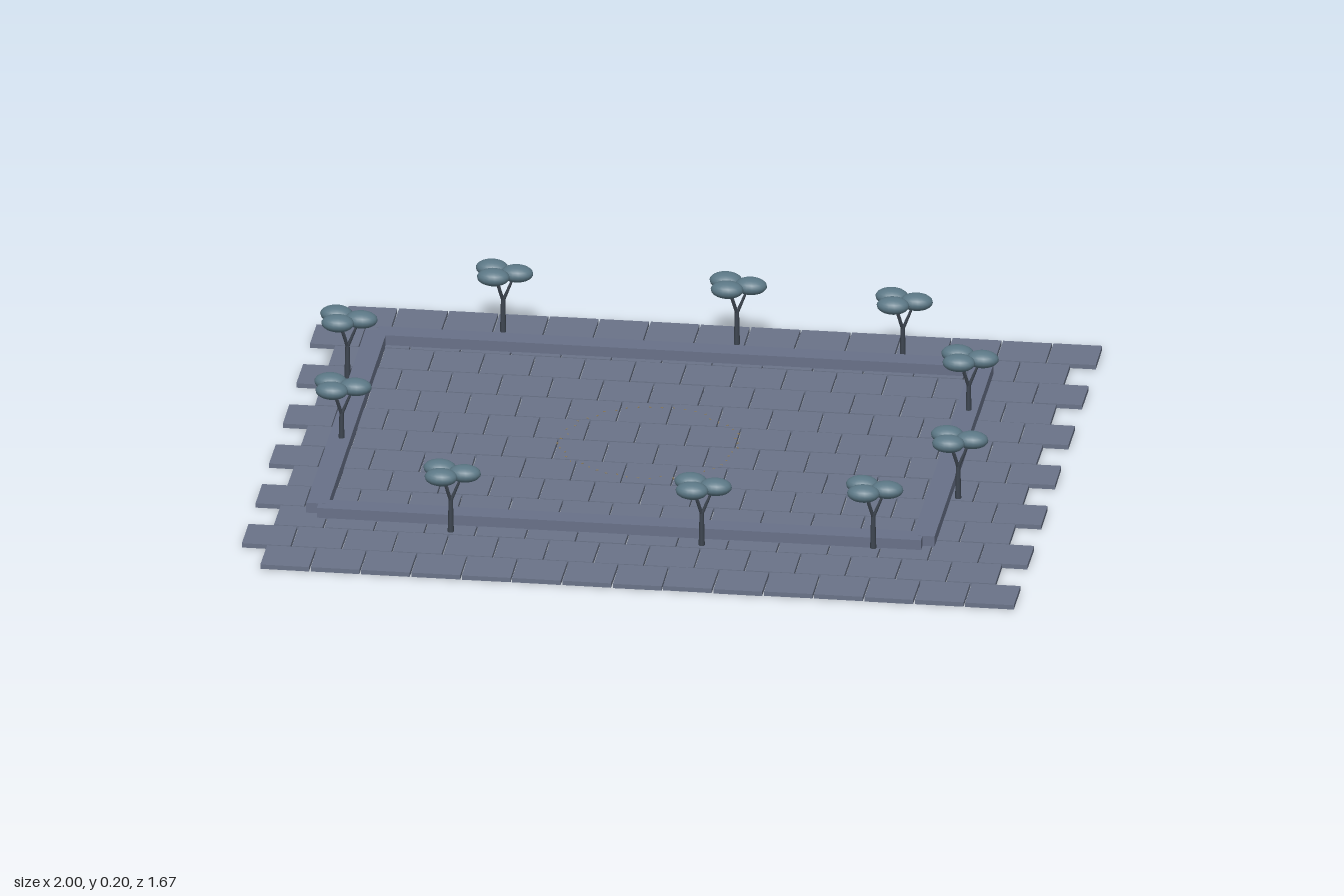
import * as THREE from 'three';

const mat = (color, flatShading = false) => new THREE.MeshStandardMaterial({ color, flatShading });
const stone = mat(0x6a7388, true);
const kerb = mat(0x687188, true);
const bark = mat(0x3d4550);
const leaf = mat(0x5b7785);
const speck = mat(0x8a7a5c, true);

// Small seeded generator for the uneven paving
let seed = 7;
const rand = () => {
  seed = (seed * 16807) % 2147483647;
  return seed / 2147483647 - 0.5;
};

function add(parent, name, geometry, material, x, y, z) {
  const mesh = new THREE.Mesh(geometry, material);
  mesh.name = name;
  mesh.position.set(x, y, z);
  parent.add(mesh);
  return mesh;
}

// Tapered limb between two points
function limb(parent, name, a, b, r0, r1) {
  const dir = b.clone().sub(a);
  const mid = a.clone().add(b).multiplyScalar(0.5);
  const mesh = add(parent, name, new THREE.CylinderGeometry(r1, r0, dir.length(), 8), bark, mid.x, mid.y, mid.z);
  mesh.quaternion.setFromUnitVectors(new THREE.Vector3(0, 1, 0), dir.normalize());
}

// Running-bond paving: 13 rows of 15 slabs, every other row shifted half a slab
function makePaving() {
  const paving = new THREE.Group();
  paving.name = 'paving';
  const pitch = 0.129, height = 0.012;
  const slab = new THREE.BoxGeometry(0.1245, height, 0.1245);
  for (let row = 0; row < 13; row++) {
    const shift = row % 2 ? -0.0325 : 0.0325;
    for (let col = 0; col < 15; col++) {
      const tile = add(paving, 'pavingSlab', slab, stone,
        (col - 7) * pitch + shift, height / 2 + 0.0006 + rand() * 0.0012, (row - 6) * pitch);
      tile.rotation.y = rand() * 0.016;
    }
  }
  return paving;
}

// Low rectangular wall; the long and short runs overlap at notched corners
function makeWall() {
  const wall = new THREE.Group();
  wall.name = 'lowWall';
  const h = 0.03, y = 0.025, w = 0.056;
  for (const s of [-1, 1]) {
    add(wall, 'longWall', new THREE.BoxGeometry(1.548, h, w), kerb, 0, y, s * 0.559);
    add(wall, 'shortWall', new THREE.BoxGeometry(w, h + 0.001, 1.118), kerb, s * 0.777, y, 0);
  }
  return wall;
}

// Faint ring of chips level with the slab tops
function makeRing() {
  const ring = new THREE.Group();
  ring.name = 'chipRing';
  const chip = new THREE.BoxGeometry(0.007, 0.004, 0.003);
  const count = 48;
  for (let i = 0; i < count; i++) {
    const a = (i / count) * Math.PI * 2;
    const r = 0.225 + rand() * 0.02;
    const mesh = add(ring, 'chip', chip, speck, r * Math.cos(a), 0.0115, r * Math.sin(a));
    mesh.rotation.y = rand() * 3;
  }
  return ring;
}

// Slim forked tree carrying three flattened crowns
function makeTree(x, z) {
  const tree = new THREE.Group();
  tree.name = 'tree';
  tree.position.set(x, 0, z);
  const fork = new THREE.Vector3(0, 0.115, 0);
  limb(tree, 'trunk', new THREE.Vector3(0, 0.02, 0), fork, 0.008, 0.0055);
  const crowns = [[-0.032, -0.029], [0.035, -0.002], [-0.021, 0.03]];
  for (const [cx, cz] of crowns) {
    limb(tree, 'branch', fork.clone().setY(0.105), new THREE.Vector3(cx * 0.8, 0.175, cz * 0.8), 0.0045, 0.0028);
    const crown = add(tree, 'crown', new THREE.SphereGeometry(1, 18, 12), leaf, cx, 0.182, cz);
    crown.scale.set(0.042, 0.022, 0.031);
  }
  return tree;
}

export function createModel() {
  const model = new THREE.Group();
  model.name = 'walledCourtyard';
  model.add(makePaving());

  // The wall and ring share a centre slightly off the paving's
  const court = new THREE.Group();
  court.name = 'court';
  court.position.set(-0.057, 0, -0.067);
  court.add(makeWall(), makeRing());
  model.add(court);

  const trees = [
    [-0.52, -0.708], [0.079, -0.708], [0.51, -0.664],
    [-0.872, -0.363], [-0.829, 0.067],
    [0.725, -0.323], [0.768, 0.193],
    [-0.48, 0.578], [0.163, 0.578], [0.597, 0.538],
  ];
  for (const [x, z] of trees) model.add(makeTree(x, z));
  return model;
}
